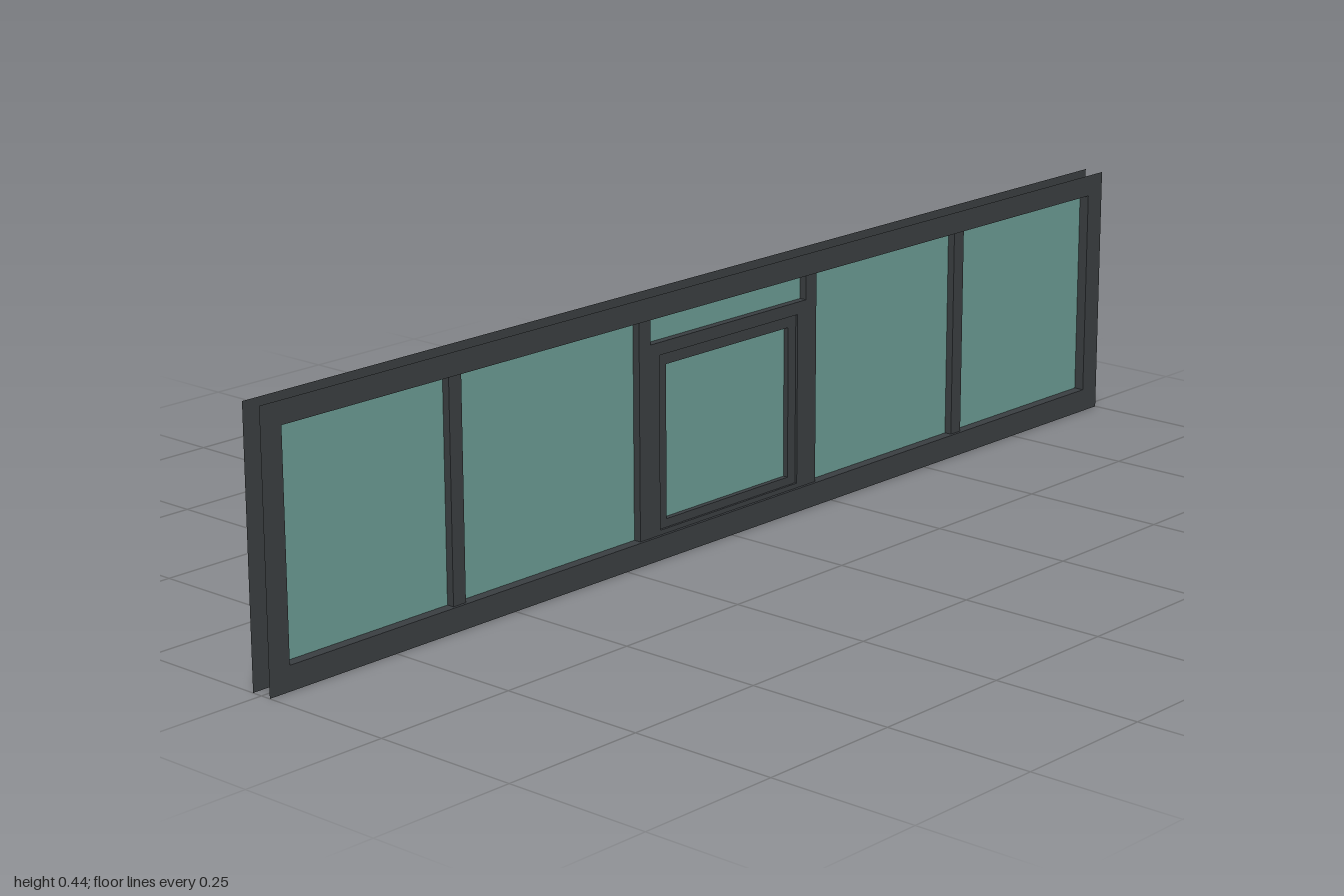
import * as THREE from 'three';

const frameMat = new THREE.MeshStandardMaterial({ color: 0x3a3e41, side: THREE.DoubleSide });
const glassMat = new THREE.MeshStandardMaterial({ color: 0x6b9b93, side: THREE.DoubleSide });

export function createModel() {
  const group = new THREE.Group();
  const H = 0.437, DEPTH = 0.018, BAR = 0.013, BAR_W = 0.026;
  const open = { z: 0.96, y0: 0.04, y1: 0.4 };

  const add = (name, geometry, material = frameMat) => {
    const mesh = new THREE.Mesh(geometry, material);
    mesh.name = name;
    group.add(mesh);
    return mesh;
  };
  // Box given by its half depth and its ranges in y and z
  const bar = (name, halfDepth, y0, y1, z0, z1) =>
    add(name, new THREE.BoxGeometry(2 * halfDepth, y1 - y0, z1 - z0))
      .position.set(0, (y0 + y1) / 2, (z0 + z1) / 2);
  // Four bars around a rectangular opening
  const ring = (name, halfDepth, w, y0, y1, z) => {
    bar(name + 'BottomRail', halfDepth, y0, y0 + w, -z, z);
    bar(name + 'TopRail', halfDepth, y1 - w, y1, -z, z);
    for (const s of [-1, 1]) {
      const c = s * (z - w / 2);
      bar(name + 'Stile', halfDepth, y0 + w, y1 - w, c - w / 2, c + w / 2);
    }
  };

  // Thin outer face plates, one on each side, with the window opening cut out
  const plate = new THREE.Shape([[-1, 0], [1, 0], [1, H], [-1, H]].map(p => new THREE.Vector2(...p)));
  plate.holes.push(new THREE.Path([[-open.z, open.y0], [-open.z, open.y1], [open.z, open.y1], [open.z, open.y0]]
    .map(p => new THREE.Vector2(...p))));
  for (const s of [-1, 1]) {
    const face = add('framePlate', new THREE.ShapeGeometry(plate));
    face.rotation.y = s * Math.PI / 2;
    face.position.x = s * DEPTH;
  }

  // Reveal surfaces joining the two plates around the opening
  for (const y of [open.y0, open.y1]) {
    const sill = add('frameReveal', new THREE.PlaneGeometry(2 * DEPTH, 2 * open.z));
    sill.rotation.x = (y === open.y1 ? 1 : -1) * Math.PI / 2;
    sill.position.y = y;
  }
  for (const s of [-1, 1]) {
    const jamb = add('frameReveal', new THREE.PlaneGeometry(2 * DEPTH, open.y1 - open.y0));
    if (s > 0) jamb.rotation.y = Math.PI;
    jamb.position.set(0, (open.y0 + open.y1) / 2, s * open.z);
  }

  // Upright mullions
  for (const z of [0.614, 0.201, -0.201, -0.593]) {
    bar('mullion', BAR, 0.027, 0.412, z - BAR_W / 2, z + BAR_W / 2);
  }

  // Stepped frame of the small centre window
  ring('sashOuter', BAR, 0.021, 0.027, 0.358, 0.188);
  ring('sashInner', 0.009, 0.02, 0.042, 0.338, 0.168);

  // Glazing sheet in the middle of the frame
  const glass = add('glass', new THREE.PlaneGeometry(1.96, 0.417), glassMat);
  glass.rotation.y = Math.PI / 2;
  glass.position.y = H / 2;

  return group;
}
